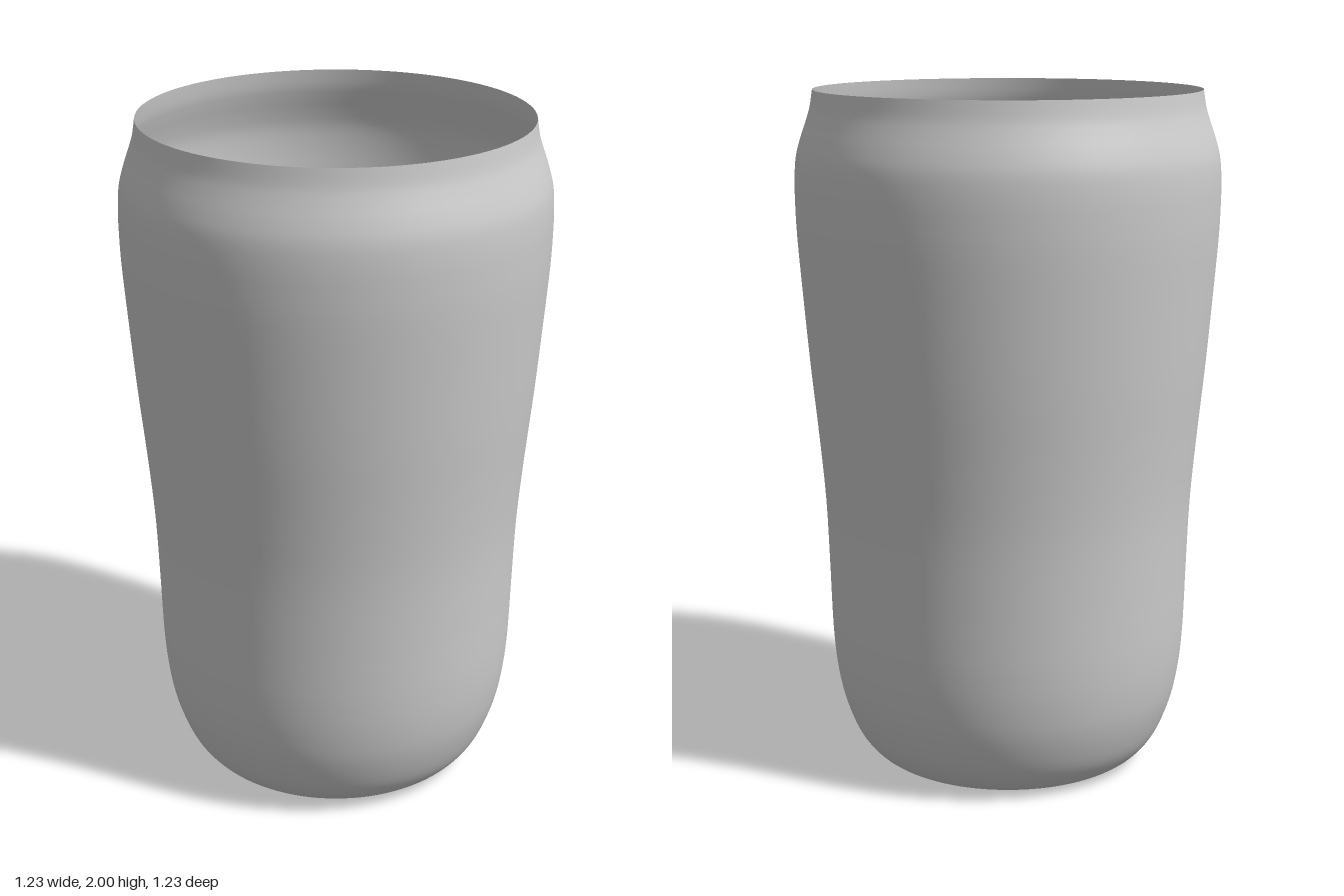
import * as THREE from 'three';

export function createModel() {
  const group = new THREE.Group();
  group.name = 'cup';

  const grey = new THREE.MeshStandardMaterial({ color: 0xcccccc, side: THREE.DoubleSide });
  grey.name = 'grey';

  // Side profile from the edge of the floor up to the rim: radius, height
  const profile = [
    [0.34, 0.002], [0.375, 0.008], [0.42, 0.04], [0.463, 0.1], [0.5, 0.2], [0.519, 0.3],
    [0.528, 0.4], [0.532, 0.5], [0.535, 0.6], [0.543, 0.8], [0.56, 1.0], [0.58, 1.2],
    [0.597, 1.4], [0.611, 1.58], [0.615, 1.68], [0.615, 1.75], [0.61, 1.81],
    [0.597, 1.86], [0.58, 1.91], [0.568, 1.95], [0.56, 2.0],
  ].map(([r, y]) => new THREE.Vector2(r, y));
  const wall = new THREE.SplineCurve(profile).getPoints(80);

  // One thin shell: flat floor, rounded foot, flared wall and necked rim
  const points = [new THREE.Vector2(0, 0), new THREE.Vector2(0.2, 0), new THREE.Vector2(0.3, 0), ...wall];
  const shell = new THREE.Mesh(new THREE.LatheGeometry(points, 96), grey);
  shell.name = 'cupShell';
  group.add(shell);

  return group;
}
